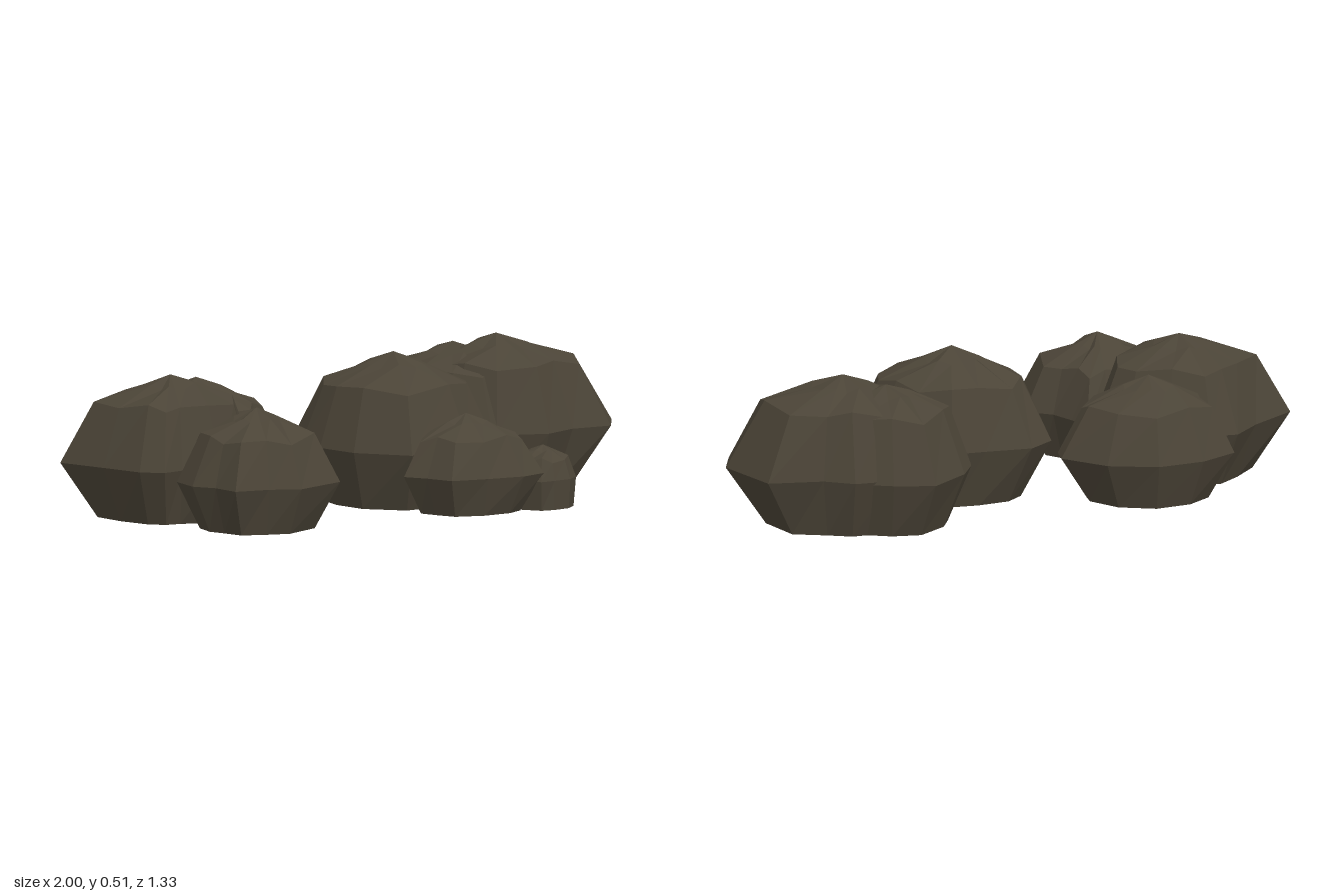
import * as THREE from 'three';

const stone = new THREE.MeshStandardMaterial({ color: 0x4b4437, flatShading: true });
stone.name = 'dark brown stone';

// Small repeatable wobble for the upper rings
const wobble = (i, seed) => Math.sin(i * 2.4 + seed * 1.7);

// A faceted boulder: base ring, wide belt, drawn-in shoulder, creased cap and peak.
// outline = flat list of x, z pairs giving the belt seen from above.
function boulder(name, cx, cz, height, belt, shoulder, outline, foot = 1) {
  const ring = [];
  for (let i = 0; i < outline.length; i += 2) ring.push([outline[i] - cx, outline[i + 1] - cz]);
  ring.sort((a, b) => Math.atan2(a[1], a[0]) - Math.atan2(b[1], b[0]));
  const n = ring.length;
  const seed = cx * 10 + cz * 7;
  const mean = ring.reduce((sum, [x, z]) => sum + Math.hypot(x, z), 0) / n;

  // A ring that mixes the belt outline with a plain circle
  const level = (own, round, y, radial, rise) => ring.map(([x, z], i) => {
    const w = wobble(i, seed);
    const s = (own + round * mean / Math.hypot(x, z)) * (1 + radial * w);
    return [x * s, y + rise * w, z * s];
  });
  const rings = [
    level(0.38 * foot, 0.36 * foot, 0, 0, 0),
    level(1, 0, belt, 0, 0),
    level(0.5, 0.25, shoulder, 0.04, -0.012),
    level(0.16, 0.14, shoulder + (height - shoulder) * 0.6, 0, (height - shoulder) * 0.09),
  ];

  const pos = [];
  const tri = (a, b, c) => pos.push(...a, ...b, ...c);
  for (let i = 0; i < n; i++) {
    const j = (i + 1) % n;
    tri([0, 0, 0], rings[0][i], rings[0][j]); // underside
    for (let k = 0; k < 3; k++) { // walls and cap
      const lo = rings[k], hi = rings[k + 1];
      tri(lo[i], hi[i], lo[j]);
      tri(lo[j], hi[i], hi[j]);
    }
    tri(rings[3][i], [0, height, 0], rings[3][j]); // peak
  }
  const geo = new THREE.BufferGeometry();
  geo.setAttribute('position', new THREE.Float32BufferAttribute(pos, 3));
  geo.computeVertexNormals();
  const mesh = new THREE.Mesh(geo, stone);
  mesh.name = name;
  mesh.position.set(cx, 0, cz);
  return mesh;
}

export function createModel() {
  const group = new THREE.Group();
  group.name = 'boulderCluster';

  // Cluster on the -x side
  group.add(boulder('outerBoulder', -0.62, 0.11, 0.48, 0.19, 0.395, [
    -1, 0.11, -0.86, -0.04, -0.78, -0.16, -0.69, -0.17, -0.55, -0.14, -0.4, -0.08, -0.32, 0,
    -0.33, 0.12, -0.37, 0.22, -0.5, 0.38, -0.63, 0.36, -0.7, 0.4, -0.78, 0.37, -0.88, 0.25]));
  group.add(boulder('rearBoulder', -0.47, -0.19, 0.42, 0.16, 0.325, [
    -0.47, -0.43, -0.3, -0.39, -0.16, -0.27, -0.16, -0.19, -0.22, -0.1, -0.25, -0.02, -0.35, 0,
    -0.47, 0.02, -0.62, -0.01, -0.71, -0.1, -0.7, -0.17, -0.75, -0.28, -0.63, -0.38]));
  group.add(boulder('frontBoulder', -0.39, 0.43, 0.41, 0.16, 0.315, [
    -0.51, 0.66, -0.39, 0.64, -0.28, 0.65, -0.12, 0.52, -0.13, 0.35, -0.22, 0.3, -0.27, 0.22,
    -0.31, 0.14, -0.39, 0.2, -0.53, 0.25, -0.63, 0.33, -0.66, 0.41, -0.63, 0.52, -0.56, 0.57]));

  // Cluster on the +x side
  group.add(boulder('middleBoulder', 0.18, -0.04, 0.51, 0.2, 0.405, [
    -0.14, -0.18, -0.06, -0.27, 0.1, -0.29, 0.22, -0.31, 0.35, -0.25, 0.46, -0.16, 0.52, -0.05,
    0.51, 0.05, 0.4, 0.17, 0.18, 0.27, 0, 0.17, -0.09, 0.04, -0.13, -0.07]));
  group.add(boulder('largeBoulder', 0.6, -0.36, 0.51, 0.2, 0.42, [
    0.6, -0.64, 0.7, -0.59, 0.89, -0.59, 1, -0.36, 0.97, -0.23, 0.83, -0.19, 0.73, -0.1,
    0.55, -0.1, 0.42, -0.17, 0.31, -0.3, 0.31, -0.45, 0.46, -0.62]));
  group.add(boulder('backBoulder', 0.46, -0.4, 0.48, 0.19, 0.4, [
    0.33, -0.67, 0.47, -0.65, 0.62, -0.6, 0.7, -0.45, 0.68, -0.25, 0.53, -0.06, 0.4, -0.12,
    0.27, -0.23, 0.18, -0.35, 0.17, -0.42, 0.21, -0.53]));

  // Small stones in front
  group.add(boulder('smallBoulder', 0.38, 0.2, 0.33, 0.13, 0.255, [
    0.15, 0.28, 0.19, 0.2, 0.24, 0.12, 0.33, 0.05, 0.47, 0.06, 0.56, 0.1, 0.62, 0.2,
    0.63, 0.29, 0.55, 0.35, 0.42, 0.38, 0.29, 0.4, 0.22, 0.33], 1.06));
  group.add(boulder('pebble', 0.65, 0.18, 0.21, 0.1, 0.165, [
    0.6, 0.06, 0.68, 0.07, 0.74, 0.12, 0.76, 0.2, 0.73, 0.25, 0.67, 0.28, 0.62, 0.3,
    0.55, 0.26, 0.48, 0.18, 0.52, 0.09], 1.18));

  return group;
}
